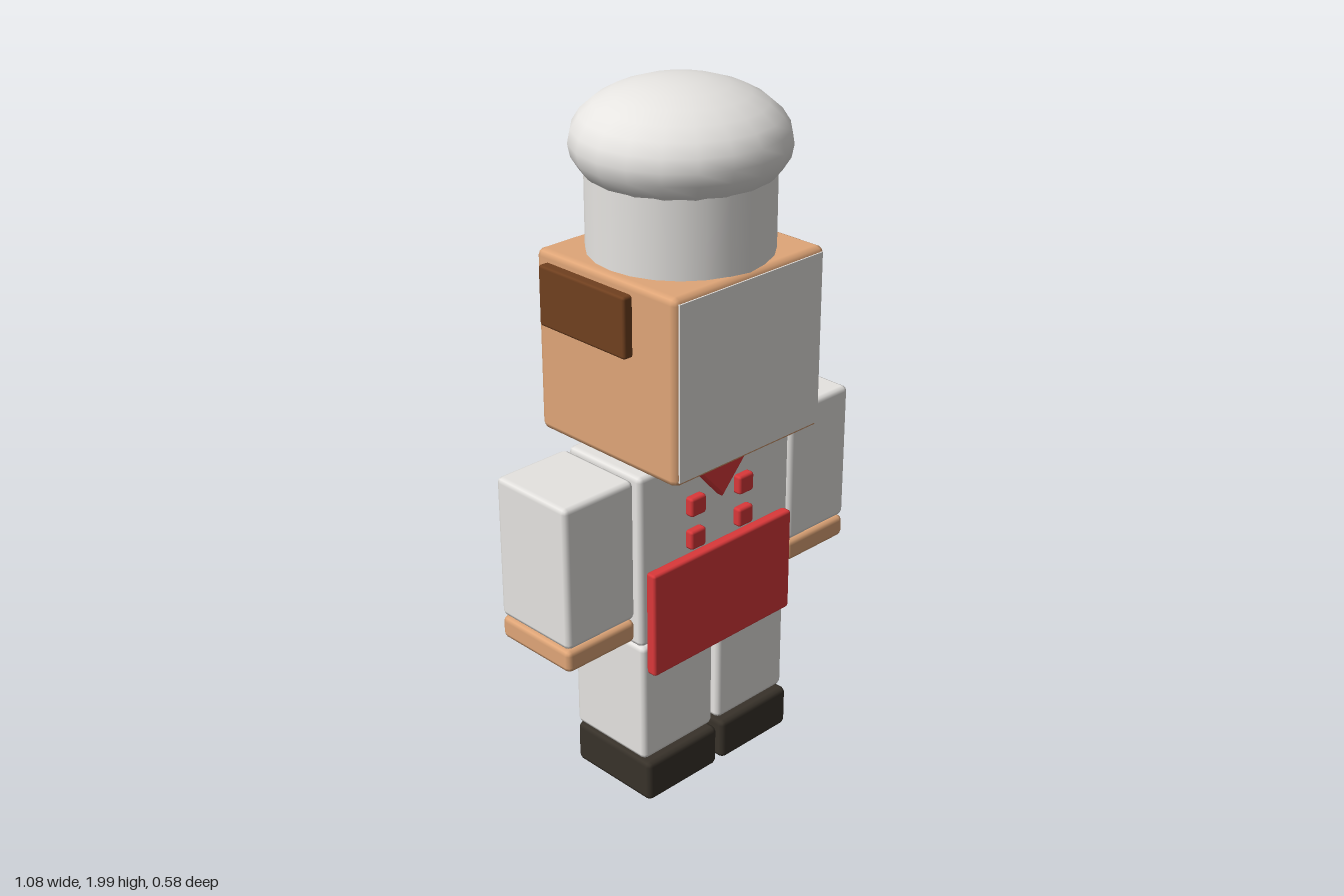
import * as THREE from 'three';
import { RoundedBoxGeometry } from 'three/addons/geometries/RoundedBoxGeometry.js';

const mat = (name, color) => {
  const m = new THREE.MeshStandardMaterial({ color });
  m.name = name;
  return m;
};

export function createModel() {
  const model = new THREE.Group();
  model.name = 'blockChef';
  const white = mat('white', 0xe6e4e1);
  const skin = mat('skin', 0xe0a678);
  const red = mat('red', 0xdb383a);
  const brown = mat('hairBrown', 0x70401f);
  const dark = mat('shoeDark', 0x38322a);

  const add = (name, geometry, material, x = 0, y = 0, z = 0) => {
    const mesh = new THREE.Mesh(geometry, material);
    mesh.name = name;
    mesh.position.set(x, y, z);
    model.add(mesh);
    return mesh;
  };
  // Bevelled box given by its min and max on each axis
  const block = (name, material, [x0, x1], [y0, y1], [z0, z1], bevel = 0.015) =>
    add(name, new RoundedBoxGeometry(x1 - x0, y1 - y0, z1 - z0, 1, bevel), material,
      (x0 + x1) / 2, (y0 + y1) / 2, (z0 + z1) / 2);

  // Limbs, shoes and side hair, mirrored
  for (const [side, s] of [['left', 1], ['right', -1]]) {
    const span = (a, b) => (s > 0 ? [a, b] : [-b, -a]);
    block(side + 'Shoe', dark, span(0.01, 0.28), [0.005, 0.13], [-0.14, 0.16]);
    block(side + 'Leg', white, span(0.01, 0.28), [0.135, 0.5], [-0.14, 0.14]);
    block(side + 'Arm', white, span(0.3, 0.54), [0.605, 1.02], [-0.137, 0.133]);
    block(side + 'Hand', skin, span(0.3, 0.54), [0.535, 0.6], [-0.137, 0.133]);
    block(side + 'Hair', brown, span(0.262, 0.303), [1.35, 1.52], [-0.22, 0.105], 0.008);
    // Jacket buttons
    for (const y of [0.78, 0.88]) {
      block(side + 'Button', red, span(0.064, 0.12), [y - 0.028, y + 0.028], [0.135, 0.165], 0.008);
    }
  }

  // Body and apron
  block('torso', white, [-0.287, 0.287], [0.505, 1.02], [-0.14, 0.14]);
  block('apron', red, [-0.267, 0.267], [0.42, 0.735], [0.138, 0.172], 0.008);

  // Neckerchief: bevelled triangle
  const tri = new THREE.Shape();
  tri.moveTo(-0.122, 1.018);
  tri.lineTo(0, 0.885);
  tri.lineTo(0.122, 1.018);
  tri.closePath();
  add('neckerchief', new THREE.ExtrudeGeometry(tri, {
    depth: 0.02, bevelSize: 0.007, bevelThickness: 0.006, bevelSegments: 1,
  }), red, 0, 0, 0.139);

  // Head with a pale front plate
  block('head', skin, [-0.275, 0.275], [1.03, 1.55], [-0.26, 0.26], 0.02);
  add('face', new THREE.BoxGeometry(0.522, 0.49, 0.006), white, 0, 1.29, 0.259);

  // Hat: straight band and flattened puff
  add('hatBand', new THREE.CylinderGeometry(0.25, 0.25, 0.26, 24), white, 0, 1.67, 0);
  const puff = new THREE.SphereGeometry(0.29, 20, 14);
  puff.scale(1, 0.55, 1);
  add('hatPuff', puff, white, 0, 1.84, 0);

  return model;
}
